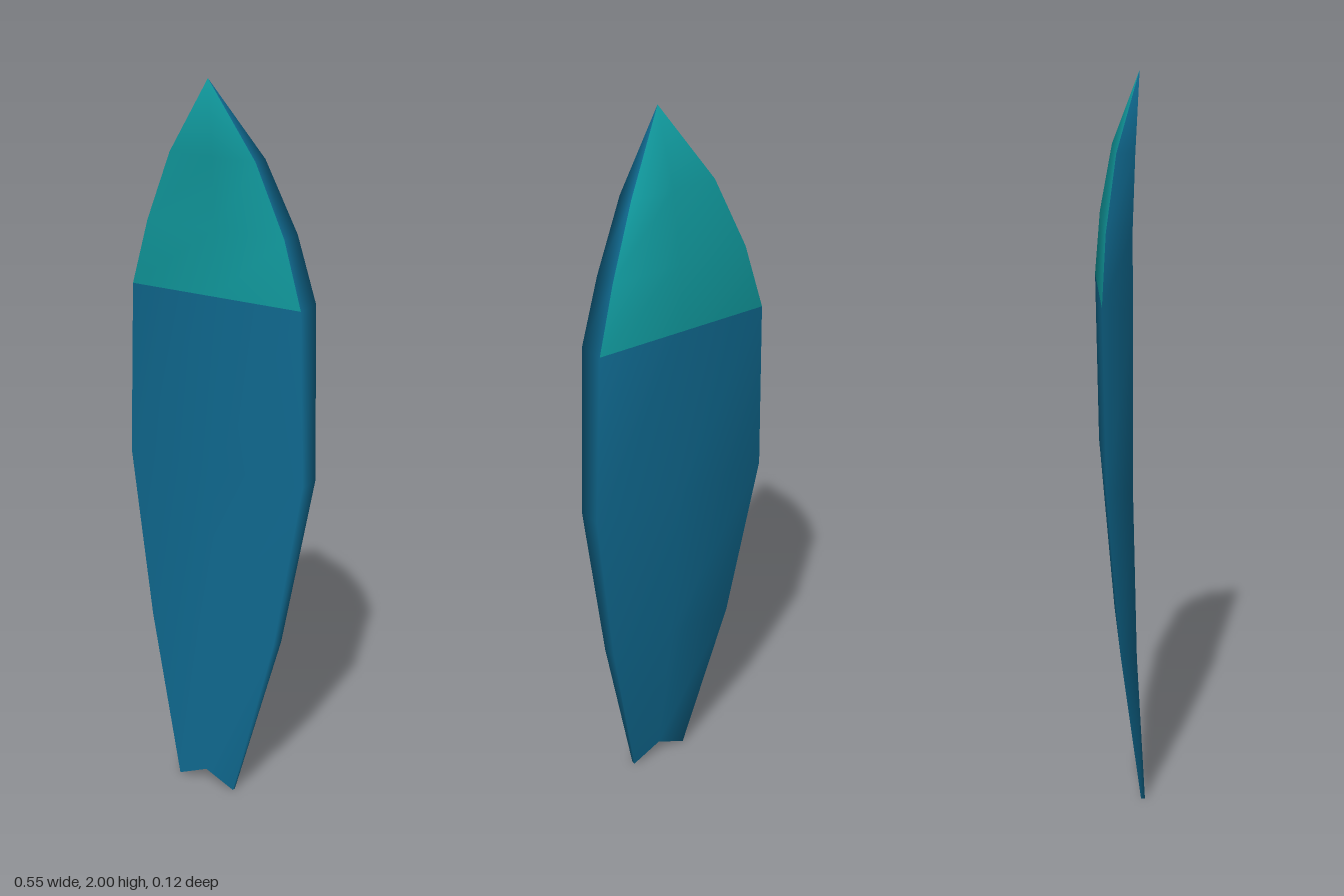
import * as THREE from 'three';

// Board stations from tail to nose: height, half width, front z, back z
const STATIONS = [
  [0, 0.09, 0.061, 0.05],
  [0.47, 0.2, 0.031, -0.012],
  [0.95, 0.275, 0.016, -0.052],
  [1.43, 0.261, 0.016, -0.062],
  [1.61, 0.21, 0.017, -0.05],
  [1.8, 0.13, 0.028, -0.02],
];
const NOSE = [0, 2, 0.046];
const NOTCH = 0.04; // depth of the swallow tail
const NOSE_START = 3; // station where the nose colour begins

export function createModel() {
  const blue = new THREE.MeshStandardMaterial({ color: 0x0f688e });
  blue.name = 'deep blue';
  const teal = new THREE.MeshStandardMaterial({ color: 0x10989c });
  teal.name = 'teal';

  // Rings of six points: across the front, then back across the rear
  const positions = [];
  STATIONS.forEach(([y, w, front, back], i) => {
    const mid = i === 0 ? y + NOTCH : y;
    positions.push(-w, y, front, 0, mid, front, w, y, front);
    positions.push(w, y, back, 0, mid, back, -w, y, back);
  });
  const tip = positions.length / 3;
  positions.push(...NOSE);

  // Deck and underside turn teal at the nose; the rails stay blue
  const body = [];
  const nose = [];
  for (let i = 0; i < STATIONS.length; i++) {
    for (let j = 0; j < 6; j++) {
      const isRail = j === 2 || j === 5;
      const faces = i >= NOSE_START && !isRail ? nose : body;
      const a = i * 6 + j;
      const b = i * 6 + ((j + 1) % 6);
      if (i === STATIONS.length - 1) faces.push(a, b, tip);
      else faces.push(a, b, b + 6, a, b + 6, a + 6);
    }
  }
  // Notched tail end
  body.push(0, 5, 4, 0, 4, 1, 1, 4, 3, 1, 3, 2);

  const geometry = new THREE.BufferGeometry();
  geometry.setAttribute('position', new THREE.Float32BufferAttribute(positions, 3));
  geometry.setIndex([...body, ...nose]);
  geometry.addGroup(0, body.length, 0);
  geometry.addGroup(body.length, nose.length, 1);
  geometry.computeVertexNormals();

  const board = new THREE.Mesh(geometry, [blue, teal]);
  board.name = 'board';
  const group = new THREE.Group();
  group.name = 'surfboard';
  group.add(board);
  return group;
}
